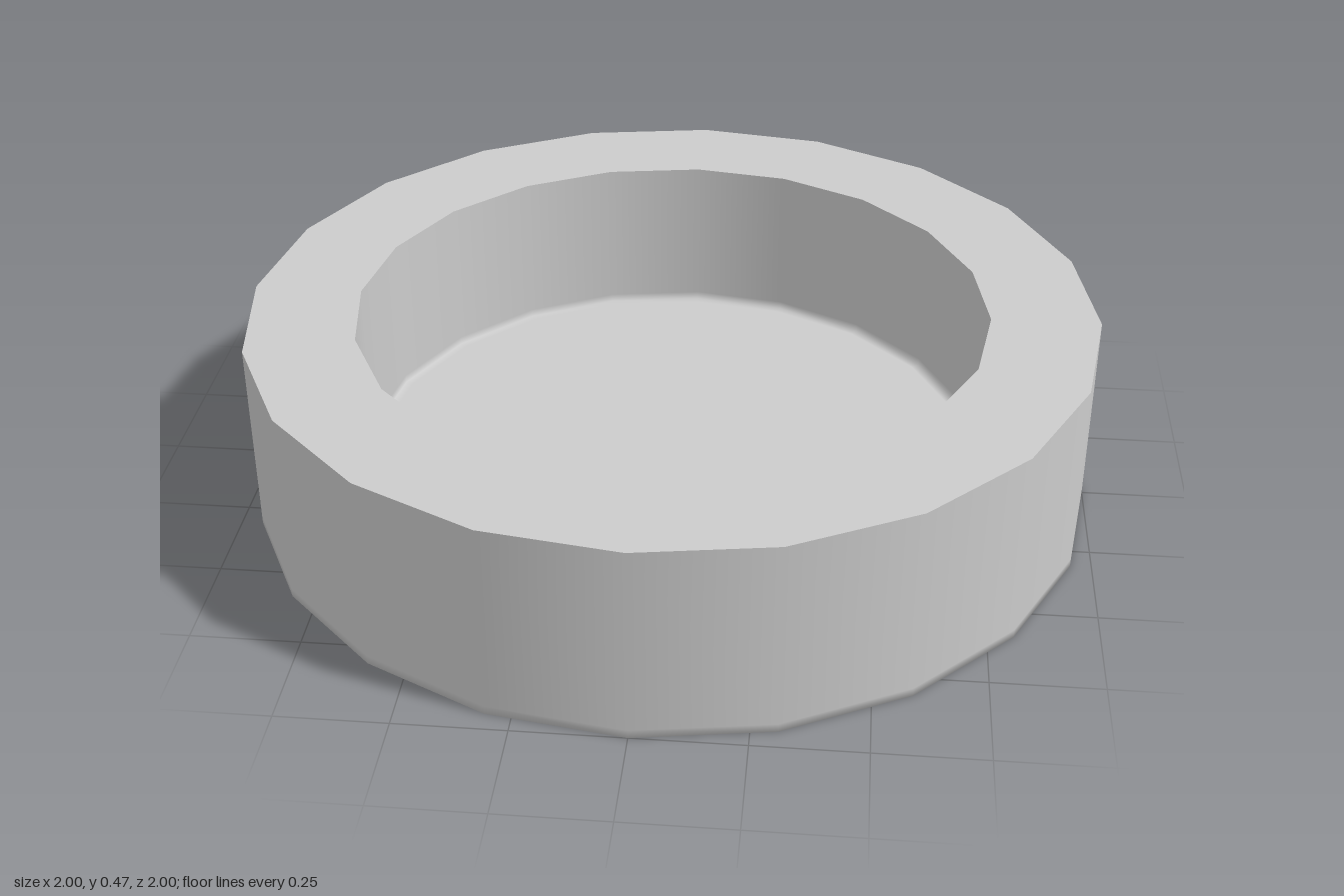
import * as THREE from 'three';

const SIDES = 20, OUTER = 1, INNER = 0.745, HEIGHT = 0.47, FLOOR = 0.08, SOFT = 0.02;

export function createModel() {
  const group = new THREE.Group();
  group.name = 'roundDish';
  const material = new THREE.MeshStandardMaterial({ color: 0xcccccc });

  // Each part is a turned surface; profiles run base -> outside -> rim -> bowl
  const turn = (name, profile) => {
    const points = profile.map(([r, y]) => new THREE.Vector2(r, y));
    const mesh = new THREE.Mesh(new THREE.LatheGeometry(points, SIDES), material);
    mesh.name = name;
    group.add(mesh);
  };

  // Underside and outer wall, with a softly shaded lower edge
  turn('outerShell', [[0, 0], [OUTER - SOFT, 0], [OUTER, 0], [OUTER, SOFT], [OUTER, HEIGHT]]);

  // Flat top ring, sharp at both edges
  turn('rim', [[OUTER, HEIGHT], [INNER, HEIGHT]]);

  // Inner wall and floor, with a softly shaded corner
  turn('bowl', [[INNER, HEIGHT], [INNER, FLOOR + SOFT], [INNER, FLOOR], [INNER - SOFT, FLOOR], [0, FLOOR]]);

  return group;
}
